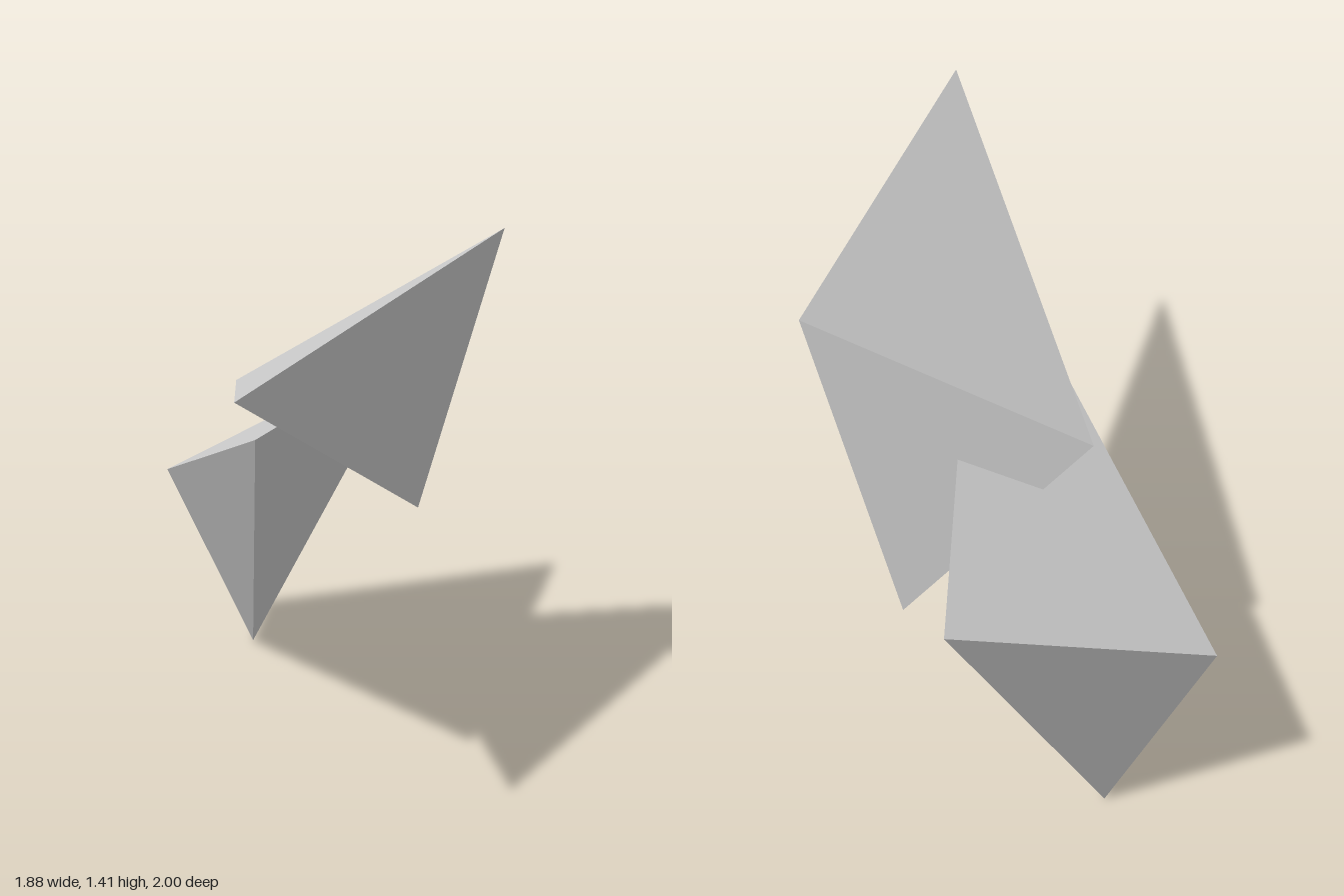
import * as THREE from 'three';
import { ConvexGeometry } from 'three/addons/geometries/ConvexGeometry.js';

const lightGrey = new THREE.MeshStandardMaterial({ color: 0xcccccc });
lightGrey.name = 'light grey';

// Flat-faced solid spanned by four corners
function shard(name, corners) {
  const points = corners.map((c) => new THREE.Vector3(...c));
  const mesh = new THREE.Mesh(new ConvexGeometry(points), lightGrey);
  mesh.name = name;
  return mesh;
}

export function createModel() {
  const group = new THREE.Group();
  group.name = 'crossedShards';

  // Upper shard: long tip to the front, blunt end at the back
  group.add(shard('upperShard', [
    [-0.94, 1.27, 1.0],
    [0.68, 1.41, 0.03],
    [0.55, 0.52, -0.21],
    [0.05, 0.94, -0.465],
  ]));

  // Lower shard: stands on its lowest corner and pierces the upper one
  group.add(shard('lowerShard', [
    [0.94, 0.895, -0.745],
    [0.3, 0, -0.75],
    [0.14, 0.54, -1.0],
    [-0.6, 1.05, 0.59],
  ]));

  return group;
}
